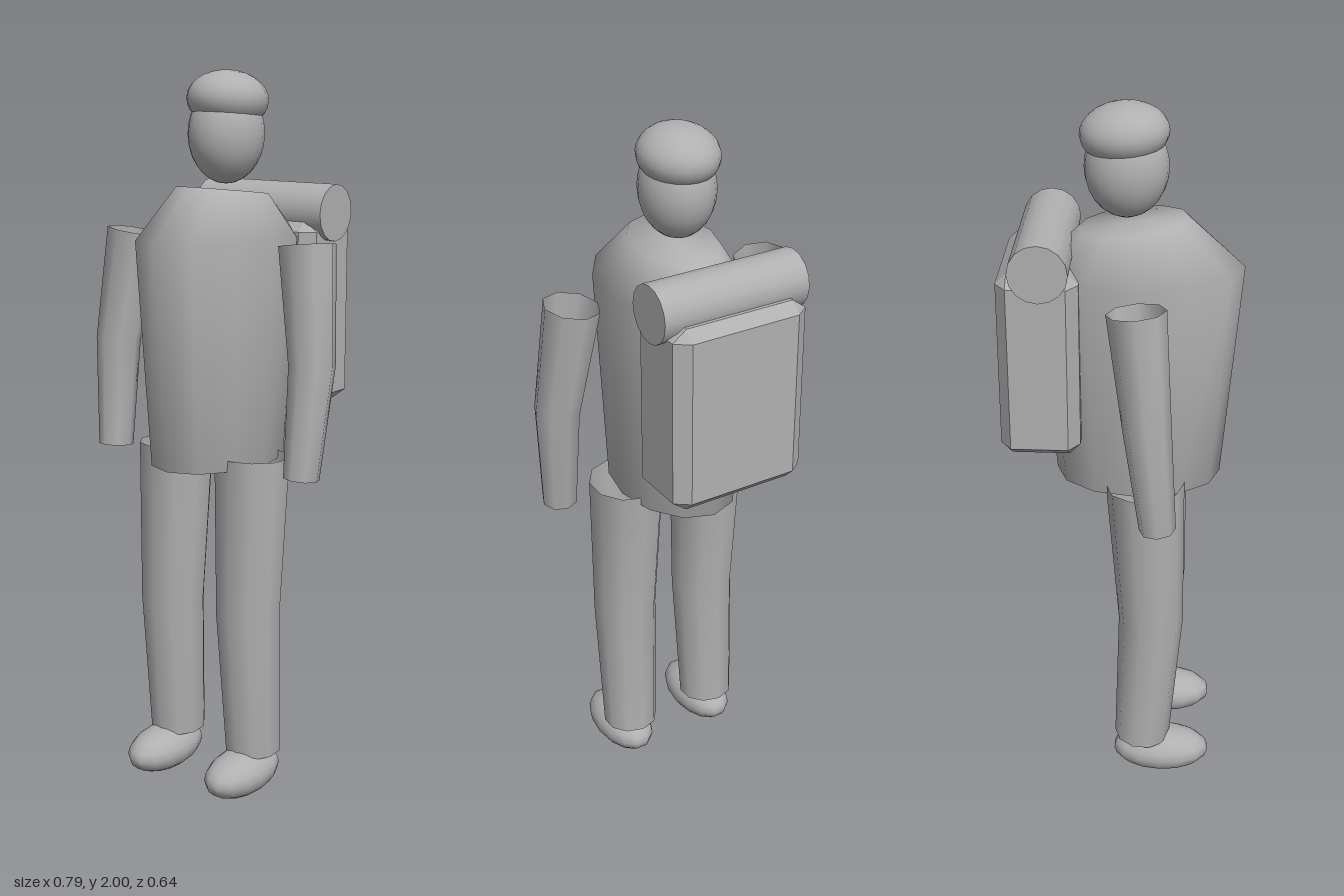
import * as THREE from 'three';
import { ConvexGeometry } from 'three/addons/geometries/ConvexGeometry.js';

const UP = new THREE.Vector3(0, 1, 0);

// Loft through rings [x, y, z, rx, rz], bottom to top, each square to the path
function loft(rings, sides, capped) {
  const centres = rings.map(([x, y, z]) => new THREE.Vector3(x, y, z));
  const pos = [], index = [];
  rings.forEach(([, , , rx, rz], k) => {
    const below = centres[Math.max(k - 1, 0)];
    const above = centres[Math.min(k + 1, rings.length - 1)];
    const turn = new THREE.Quaternion().setFromUnitVectors(UP, above.clone().sub(below).normalize());
    for (let i = 0; i < sides; i++) {
      const a = (i / sides) * Math.PI * 2;
      const p = new THREE.Vector3(Math.sin(a) * rx, 0, Math.cos(a) * rz);
      pos.push(...p.applyQuaternion(turn).add(centres[k]).toArray());
    }
  });
  for (let k = 0; k < rings.length - 1; k++) {
    for (let i = 0; i < sides; i++) {
      const a = k * sides + i, b = k * sides + (i + 1) % sides;
      index.push(a, b, b + sides, a, b + sides, a + sides);
    }
  }
  if (capped) {
    const bottom = pos.length / 3, top = bottom + 1, last = (rings.length - 1) * sides;
    pos.push(...centres[0].toArray(), ...centres[rings.length - 1].toArray());
    for (let i = 0; i < sides; i++) {
      const j = (i + 1) % sides;
      index.push(bottom, j, i, top, last + i, last + j);
    }
  }
  const geo = new THREE.BufferGeometry();
  geo.setAttribute('position', new THREE.Float32BufferAttribute(pos, 3));
  geo.setIndex(index);
  geo.computeVertexNormals();
  return geo;
}

// Box with every edge chamfered
function chamferedBox(x, y, z, cx, c) {
  const points = [];
  for (const sx of [-1, 1]) for (const sy of [-1, 1]) for (const sz of [-1, 1]) {
    points.push(
      new THREE.Vector3(sx * x, sy * (y - c), sz * (z - c)),
      new THREE.Vector3(sx * (x - cx), sy * y, sz * (z - c)),
      new THREE.Vector3(sx * (x - cx), sy * (y - c), sz * z));
  }
  return new ConvexGeometry(points);
}

export function createModel() {
  const model = new THREE.Group();
  model.name = 'hiker';
  const grey = new THREE.MeshStandardMaterial({ color: 0xb0b0b0, side: THREE.DoubleSide });
  grey.name = 'grey';

  const add = (name, geo, x = 0, y = 0, z = 0) => {
    const mesh = new THREE.Mesh(geo, grey);
    mesh.name = name;
    mesh.position.set(x, y, z);
    model.add(mesh);
    return mesh;
  };
  const ellipsoid = (rx, ry, rz, w, h) => new THREE.SphereGeometry(1, w, h).scale(rx, ry, rz);

  // Head and cap
  add('head', ellipsoid(0.1, 0.132, 0.11, 20, 14), 0, 1.833, 0.008);
  add('cap', ellipsoid(0.107, 0.077, 0.116, 20, 14), 0, 1.923, 0.002).rotation.x = -0.09;

  // Jacket, sloping in from the shoulders to the neck
  add('jacket', loft([
    [0, 0.95, 0.042, 0.16, 0.228],
    [0, 1.56, 0.04, 0.183, 0.28],
    [0, 1.685, 0.025, 0.115, 0.147],
  ], 12, true));

  // Limbs, mirrored
  for (const [side, s] of [['left', 1], ['right', -1]]) {
    add(side + 'Arm', loft([
      [s * 0.323, 0.95, 0.107, 0.049, 0.049],
      [s * 0.333, 1.25, 0.078, 0.063, 0.063],
      [s * 0.293, 1.56, 0.047, 0.077, 0.077],
    ], 8, false));
    add(side + 'Leg', loft([
      [s * 0.137, 0.115, 0.063, 0.08, 0.08],
      [s * 0.134, 0.53, 0.086, 0.092, 0.092],
      [s * 0.132, 0.977, 0.066, 0.106, 0.108],
    ], 10, false));
    add(side + 'Shoe', ellipsoid(0.08, 0.064, 0.142, 14, 10), s * 0.14, 0.065, 0.12);
  }

  // Backpack with a rolled mat on top
  add('backpack', chamferedBox(0.198, 0.26, 0.107, 0.04, 0.03), 0, 1.34, -0.214);
  add('rolledMat', new THREE.CylinderGeometry(0.078, 0.078, 0.427, 16).rotateZ(Math.PI / 2), 0, 1.618, -0.206);

  return model;
}
